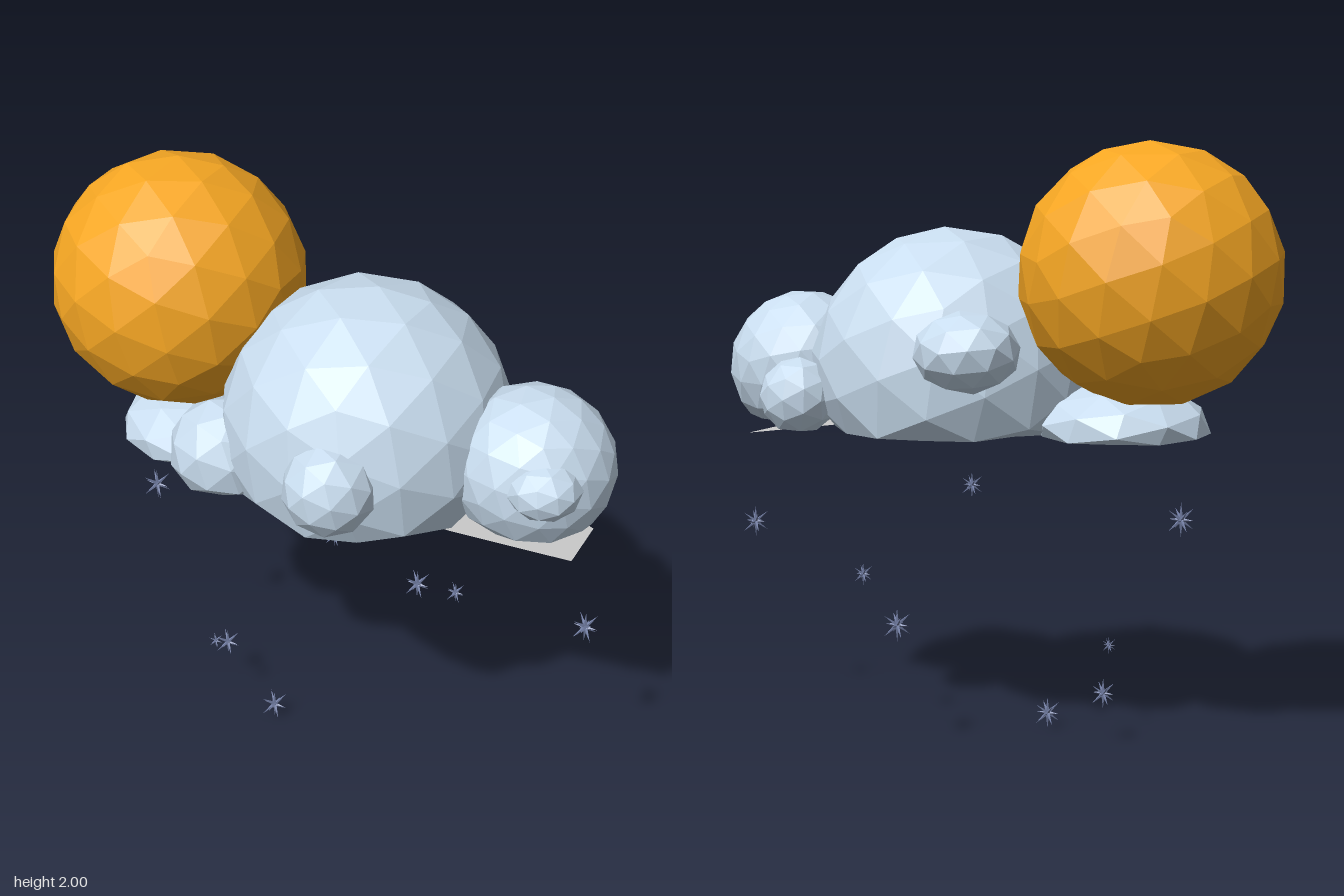
import * as THREE from 'three';
import { mergeGeometries } from 'three/addons/utils/BufferGeometryUtils.js';

const BASE = 1.06; // height of the cloud's flat underside

const flat = (color, extra = {}) =>
  new THREE.MeshStandardMaterial({ color, flatShading: true, ...extra });

// Faceted ball, optionally flattened below a given height
function ball(name, material, [x, y, z], [rx, ry, rz], detail, turn = 0, floor = -Infinity) {
  const geo = new THREE.IcosahedronGeometry(1, detail);
  geo.rotateY(turn).rotateZ(turn * 0.5).scale(rx, ry, rz).translate(x, y, z);
  const pos = geo.attributes.position;
  for (let i = 0; i < pos.count; i++) pos.setY(i, Math.max(pos.getY(i), floor));
  geo.computeVertexNormals();
  const mesh = new THREE.Mesh(geo, material);
  mesh.name = name;
  return mesh;
}

// Snowflake made of thin crossed spikes, unit radius along y
function flakeGeometry() {
  const up = new THREE.Vector3(0, 1, 0);
  const spikes = [[0, 1, 0], [0.75, 0, 0], [0, 0, 0.75]];
  for (const sx of [-1, 1]) for (const sz of [-1, 1]) spikes.push([0.55 * sx, 0.6, 0.55 * sz]);
  return mergeGeometries(spikes.map((s) => {
    const dir = new THREE.Vector3(...s);
    const geo = new THREE.OctahedronGeometry(1, 0).scale(0.13, dir.length(), 0.13);
    return geo.applyQuaternion(new THREE.Quaternion().setFromUnitVectors(up, dir.normalize()));
  }));
}

export function createModel() {
  const model = new THREE.Group();
  model.name = 'snowCloudWithSun';

  // Sun
  model.add(ball('sun', flat(0xf5a623), [-0.56, 1.58, -0.04], [0.425, 0.42, 0.42], 2, 0.4));

  // Cloud: large body with puffs around it, all cut flat underneath
  const cloud = new THREE.Group();
  cloud.name = 'cloud';
  const cloudMat = flat(0xc8dcee);
  const puffs = [
    ['cloudBody', [0.15, 1.25, 0], [0.48, 0.475, 0.48], 2, 0.3],
    ['leftPuff', [0.72, 1.24, -0.01], [0.265, 0.26, 0.26], 2, 0.7],
    ['leftFrontPuff', [0.82, 1.28, 0.16], [0.12, 0.095, 0.12], 1, 0.2],
    ['frontPuff', [0.23, 1.26, 0.43], [0.15, 0.15, 0.145], 1, 0.5],
    ['backPuff', [-0.1, 1.35, -0.42], [0.17, 0.13, 0.16], 1, 0.9],
    ['backLeftPuff', [0.565, 1.17, -0.32], [0.13, 0.13, 0.125], 1, 0.1],
    ['rightFrontPuff', [-0.24, 1.16, 0.24], [0.19, 0.18, 0.18], 1, 0.6],
    ['rightPuff', [-0.45, 1.09, 0.01], [0.29, 0.14, 0.28], 1, 0.3],
  ];
  for (const [name, at, radii, detail, turn] of puffs)
    cloud.add(ball(name, cloudMat, at, radii, detail, turn, BASE));
  model.add(cloud);

  // Thin tilted panel under the left puff
  const outline = [[-0.23, -0.21], [-0.15, -0.2], [0.23, -0.1], [0.23, 0.1], [-0.15, 0.2], [-0.23, 0.21]];
  const panelGeo = new THREE.ShapeGeometry(new THREE.Shape(outline.map((p) => new THREE.Vector2(...p))));
  panelGeo.rotateX(Math.PI / 2).rotateZ(-0.157).translate(0.68, 1.036, 0);
  const panel = new THREE.Mesh(panelGeo, flat(0xcccccc, { side: THREE.DoubleSide }));
  panel.name = 'undersidePanel';
  model.add(panel);

  // Falling snowflakes: x, y, z, radius
  const snow = new THREE.Group();
  snow.name = 'snowflakes';
  const flakeGeo = flakeGeometry();
  const flakeMat = flat(0x7480a6);
  const flakes = [
    [-0.645, 0.79, 0.04, 0.057], [-0.06, 0.915, -0.3, 0.042], [0.215, 1.04, 0.36, 0.04],
    [0.935, 0.67, -0.02, 0.055], [0.425, 0.55, -0.15, 0.04], [0.22, 0.425, -0.29, 0.057],
    [-0.34, 0.305, 0.19, 0.03], [-0.38, 0.18, 0.04, 0.052], [-0.135, 0.055, 0.14, 0.055],
  ];
  for (const [x, y, z, r] of flakes) {
    const flake = new THREE.Mesh(flakeGeo, flakeMat);
    flake.name = 'snowflake';
    flake.position.set(x, y, z);
    flake.scale.setScalar(r);
    snow.add(flake);
  }
  model.add(snow);

  return model;
}
